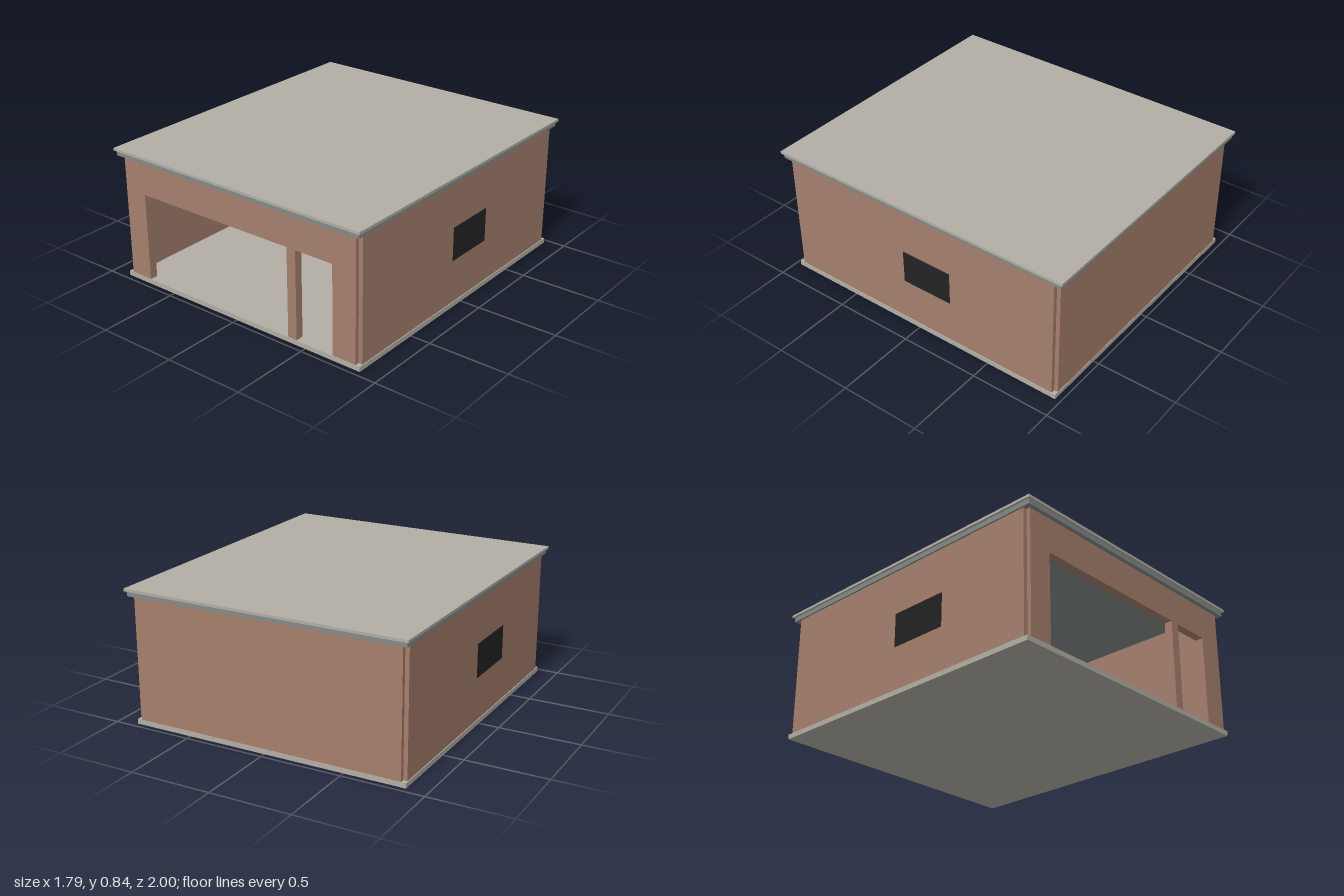
import * as THREE from 'three';

const material = (name, color) => {
  const m = new THREE.MeshStandardMaterial({ color });
  m.name = name;
  return m;
};

export function createModel() {
  const brick = material('brick', 0xa57f6c);
  const concrete = material('concrete', 0xb2aea5);
  const trimGrey = material('trim grey', 0x838a87);
  const darkGlass = material('dark glass', 0x232323);

  const model = new THREE.Group();
  model.name = 'garage';

  // Box given by its min and max corners
  const box = (name, mat, [x0, y0, z0], [x1, y1, z1]) => {
    const mesh = new THREE.Mesh(new THREE.BoxGeometry(x1 - x0, y1 - y0, z1 - z0), mat);
    mesh.position.set((x0 + x1) / 2, (y0 + y1) / 2, (z0 + z1) / 2);
    mesh.name = name;
    model.add(mesh);
  };

  // Centre lines of the walls; each wall stops at them, leaving notched corners
  const T = 0.05, cx = 0.845, cz = 0.938, floor = 0.03, top = 0.79;

  // Floor slab and stepped flat roof
  box('floorSlab', concrete, [-0.875, 0, -0.966], [0.875, floor, 0.966]);
  box('roofTrim', trimGrey, [-0.88, top, -0.988], [0.88, 0.82, 0.988]);
  box('roofSlab', concrete, [-0.893, 0.82, -1], [0.893, 0.836, 1]);

  // Front wall outline with the garage and side door cut out from the bottom
  const outline = [
    [-cx, floor], [-0.695, floor], [-0.695, 0.58], [0.38, 0.58], [0.38, floor],
    [0.44, floor], [0.44, 0.58], [0.69, 0.58], [0.69, floor],
    [cx, floor], [cx, top], [-cx, top],
  ];
  const frontShape = new THREE.Shape(outline.map(([x, y]) => new THREE.Vector2(x, y)));
  const front = new THREE.Mesh(
    new THREE.ExtrudeGeometry(frontShape, { depth: T, bevelEnabled: false }), brick);
  front.position.z = cz - T / 2;
  front.name = 'frontWall';
  model.add(front);

  // Back wall
  box('backWall', brick, [-cx, floor, -cz - T / 2], [cx, top, -cz + T / 2]);

  // Side walls, each with a thin window panel outside and inside
  const sides = [
    { name: 'left', s: 1, z0: -0.235, z1: 0.098 },
    { name: 'right', s: -1, z0: -0.045, z1: 0.33 },
  ];
  for (const { name, s, z0, z1 } of sides) {
    const x = s * cx;
    box(name + 'Wall', brick, [x - T / 2, floor, -cz], [x + T / 2, top, cz]);
    for (const [label, face] of [['Outer', s], ['Inner', -s]]) {
      const px = x + face * T / 2;
      box(name + 'Window' + label, darkGlass, [px - 0.002, 0.3, z0], [px + 0.002, 0.51, z1]);
    }
  }

  return model;
}
